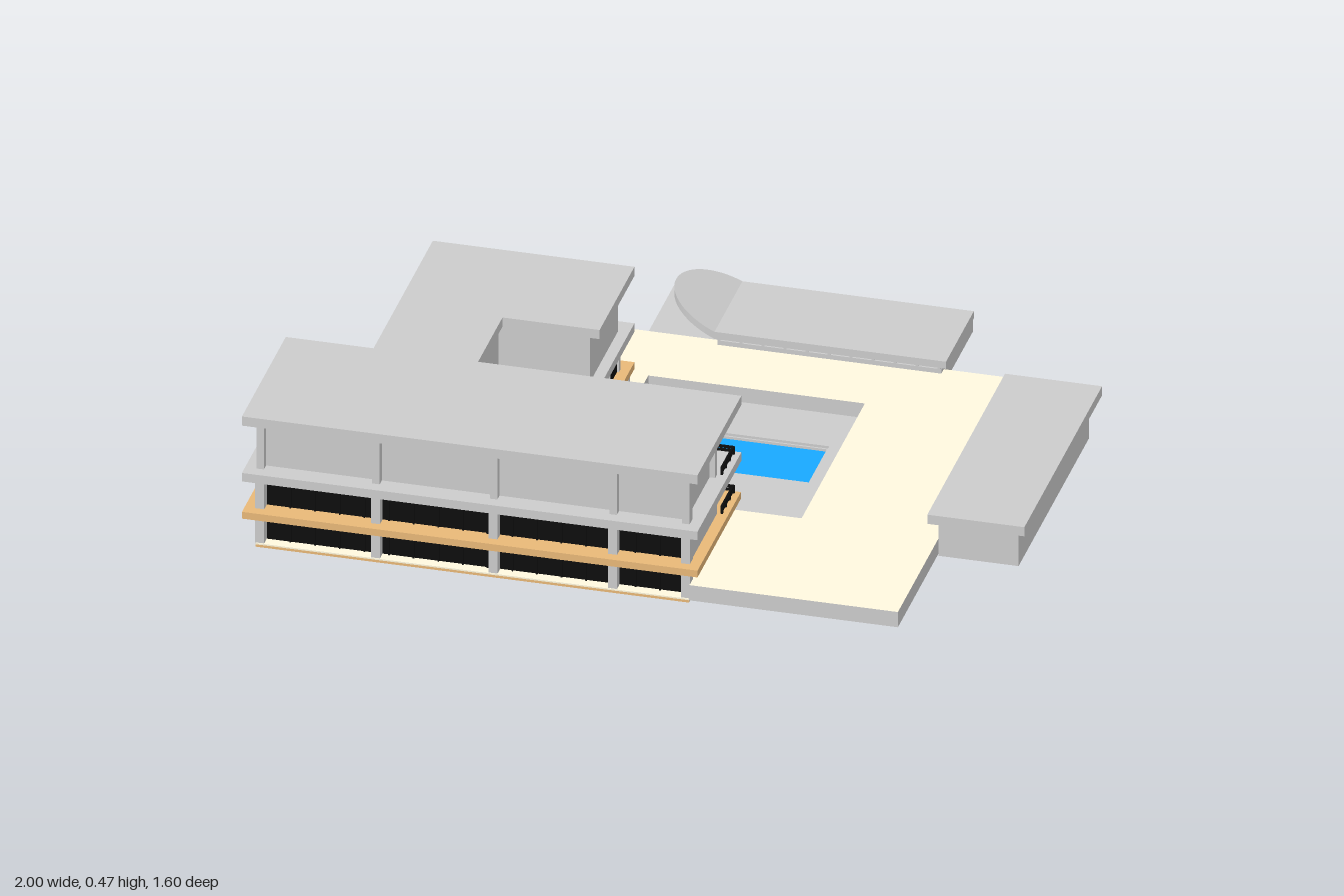
import * as THREE from 'three';

const mat = (color) => new THREE.MeshStandardMaterial({ color, side: THREE.DoubleSide });

export function createModel() {
  const house = new THREE.Group();
  house.name = 'house';
  const grey = mat(0xcccccc), black = mat(0x0c0c0c), wood = mat(0xe8b878);
  const beige = mat(0xfff8de), blue = mat(0x18a8ff);

  function add(name, geometry, material) {
    const mesh = new THREE.Mesh(geometry, material);
    mesh.name = name;
    house.add(mesh);
    return mesh;
  }
  // box given by its limits on each axis
  function box(name, x0, x1, y0, y1, z0, z1, material = grey) {
    const mesh = add(name, new THREE.BoxGeometry(x1 - x0, y1 - y0, z1 - z0), material);
    mesh.position.set((x0 + x1) / 2, (y0 + y1) / 2, (z0 + z1) / 2);
    return mesh;
  }
  // horizontal slab from an outline of [x, z] points, with optional holes
  const flip = (points) => points.map(([x, z]) => new THREE.Vector2(x, -z));
  function slab(name, outline, y0, y1, material = grey, holes = []) {
    const shape = new THREE.Shape(flip(outline));
    holes.forEach((h) => shape.holes.push(new THREE.Path(flip(h))));
    const geometry = new THREE.ExtrudeGeometry(shape, { depth: y1 - y0, bevelEnabled: false });
    geometry.rotateX(-Math.PI / 2).translate(0, y0, 0);
    return add(name, geometry, material);
  }

  // raised terrace around the sunken patio
  const patio = [[-0.45, 0.125], [-0.2, 0.125], [-0.2, -0.29], [0.38, -0.29], [0.38, 0.345], [-0.45, 0.345]];
  const pool = [[-0.07, -0.12], [0.33, -0.12], [0.33, 0.08], [-0.07, 0.08]];
  const terrace = [[0.75, 0.765], [0.75, -0.52], [-0.74, -0.52], [-0.74, 0.36], [0.19, 0.36], [0.19, 0.765]];
  const terraceMesh = slab('terrace', terrace, 0.08, 0.125, beige, [patio]);
  terraceMesh.material = [beige, grey];
  slab('patio', patio, 0.07, 0.082, grey, [pool]);

  // pool pit and water
  box('poolFloor', -0.07, 0.33, 0, 0.01, -0.12, 0.08);
  for (const z of [-0.12, 0.075]) box('poolWall', -0.07, 0.33, 0, 0.075, z, z + 0.005);
  for (const x of [-0.07, 0.325]) box('poolWall', x, x + 0.005, 0, 0.075, -0.12, 0.08);
  box('water', -0.066, 0.326, 0.06, 0.068, -0.116, 0.076, blue);

  // house plan: front wing, connector and back wing
  const roof = [[-1, 0.79], [0.22, 0.79], [0.22, 0.35], [-0.485, 0.35], [-0.485, 0.105],
    [-0.225, 0.105], [-0.225, -0.245], [-0.765, -0.245], [-0.765, 0.35], [-1, 0.35]];
  const walls = [[-0.95, 0.735], [0.175, 0.735], [0.175, 0.48], [-0.5, 0.48], [-0.5, 0.09],
    [-0.255, 0.09], [-0.255, -0.19], [-0.735, -0.19], [-0.735, 0.38], [-0.95, 0.38]];
  const floor = [[-0.97, 0.765], [0.19, 0.765], [0.19, 0.36], [-0.48, 0.36], [-0.48, 0.1],
    [-0.25, 0.1], [-0.25, -0.2], [-0.74, -0.2], [-0.74, 0.36], [-0.97, 0.36]];
  slab('groundFloor', floor, 0.073, 0.08, wood);
  box('plinth', -0.97, 0.19, 0.08, 0.084, 0.36, 0.765, beige);
  slab('lowerGlazing', walls, 0.08, 0.275, black);
  slab('upperWalls', walls, 0.3, 0.44);
  slab('middleSlab', roof, 0.275, 0.3);
  slab('roof', roof, 0.44, 0.467);
  box('slabEnd', -0.998, -0.955, 0.275, 0.3, 0.33, 0.35);

  // timber balconies
  box('frontBalcony', -1, 0.22, 0.165, 0.185, 0.355, 0.79, wood);
  box('backBalcony', -0.74, -0.225, 0.165, 0.185, -0.245, -0.18, wood);
  box('sideBalcony', -0.27, -0.225, 0.165, 0.185, -0.245, 0.105, wood);

  // solid wall panels on the lower floor
  box('endWall', 0.17, 0.19, 0.08, 0.275, 0.48, 0.76);
  box('backWall', -0.74, -0.25, 0.08, 0.275, -0.2, -0.185);
  box('leftWall', -0.742, -0.725, 0.08, 0.275, -0.2, 0.37);
  box('leftEndWall', -0.965, -0.945, 0.08, 0.275, 0.37, 0.5);

  // front columns and window bars
  for (const x of [-0.96, -0.65, -0.335, -0.015, 0.18]) {
    box('column', x - 0.012, x + 0.012, 0.08, 0.275, 0.73, 0.762);
    box('upperColumn', x - 0.01, x + 0.01, 0.3, 0.44, 0.73, 0.757);
  }
  for (let i = 1; i < 17; i++) {
    const x = -0.95 + i * 0.066;
    box('windowBar', x - 0.002, x + 0.002, 0.08, 0.275, 0.734, 0.74, black);
  }
  for (const z of [0.47, 0.56, 0.65]) box('leftWindowBar', -0.955, -0.945, 0.08, 0.275, z, z + 0.008);
  for (const z of [-0.19, -0.1, -0.01, 0.08]) {
    box('sideWindowBar', -0.258, -0.25, 0.08, 0.275, z, z + 0.008);
  }
  for (const z of [0.48, 0.735]) box('upperEndColumn', 0.17, 0.19, 0.3, 0.44, z, z + 0.02);

  // gallery railings and posts on the courtyard side
  for (const y of [0.185, 0.3]) {
    for (const h of [0.01, 0.02]) {
      box('railing', -0.48, 0.205, y + h - 0.003, y + h + 0.003, 0.362, 0.368, black);
      box('railingEnd', 0.199, 0.205, y + h - 0.003, y + h + 0.003, 0.362, 0.48, black);
    }
    for (let i = 0; i < 8; i++) {
      const x = -0.478 + i * 0.097;
      box('railingPost', x, x + 0.005, y, y + 0.022, 0.362, 0.368, black);
    }
    for (const z of [0.4, 0.44, 0.475]) box('railingPost', 0.199, 0.205, y, y + 0.022, z, z + 0.005, black);
  }
  for (const [x, z] of [[-0.24, -0.225], [0.19, 0.375], [-0.15, 0.375]]) {
    const post = add('balconyPost', new THREE.CylinderGeometry(0.008, 0.008, 0.09, 12), grey);
    post.position.set(x, 0.122, z);
  }

  // garage
  box('garage', 0.75, 0.965, 0.075, 0.21, -0.345, 0.36);
  box('garageRoof', 0.74, 1, 0.207, 0.234, -0.347, 0.433);

  // pool house with window band
  box('poolHouseBase', -0.26, 0.53, 0.08, 0.125, -0.812, -0.52);
  box('poolHouseWall', -0.07, 0.53, 0.125, 0.155, -0.73, -0.7);
  box('poolHouseSill', -0.07, 0.53, 0.125, 0.138, -0.7, -0.495);
  box('poolHouseLintel', -0.07, 0.53, 0.148, 0.157, -0.7, -0.495);
  for (let i = 0; i <= 10; i++) {
    const x = -0.07 + i * 0.059;
    box('poolHouseBar', x, x + 0.008, 0.135, 0.15, -0.505, -0.495);
  }
  for (let i = 0; i < 5; i++) {
    const z = -0.7 + i * 0.049;
    for (const x of [-0.07, 0.52]) box('poolHouseEndBar', x, x + 0.008, 0.135, 0.15, z, z + 0.008);
  }
  box('poolHouseRoof', -0.07, 0.55, 0.157, 0.178, -0.747, -0.467);

  // rounded roof end, tilted upward
  const half = new THREE.Shape();
  half.absarc(0, 0, 0.14, Math.PI / 2, Math.PI * 1.5, false);
  const canopy = new THREE.ExtrudeGeometry(half, { depth: 0.021, bevelEnabled: false, curveSegments: 32 });
  canopy.rotateX(-Math.PI / 2);
  const p = canopy.attributes.position;
  for (let i = 0; i < p.count; i++) p.setY(i, p.getY(i) - p.getX(i) * 0.44);
  canopy.computeVertexNormals();
  add('poolHouseCanopy', canopy, grey).position.set(-0.07, 0.157, -0.607);

  return house;
}
